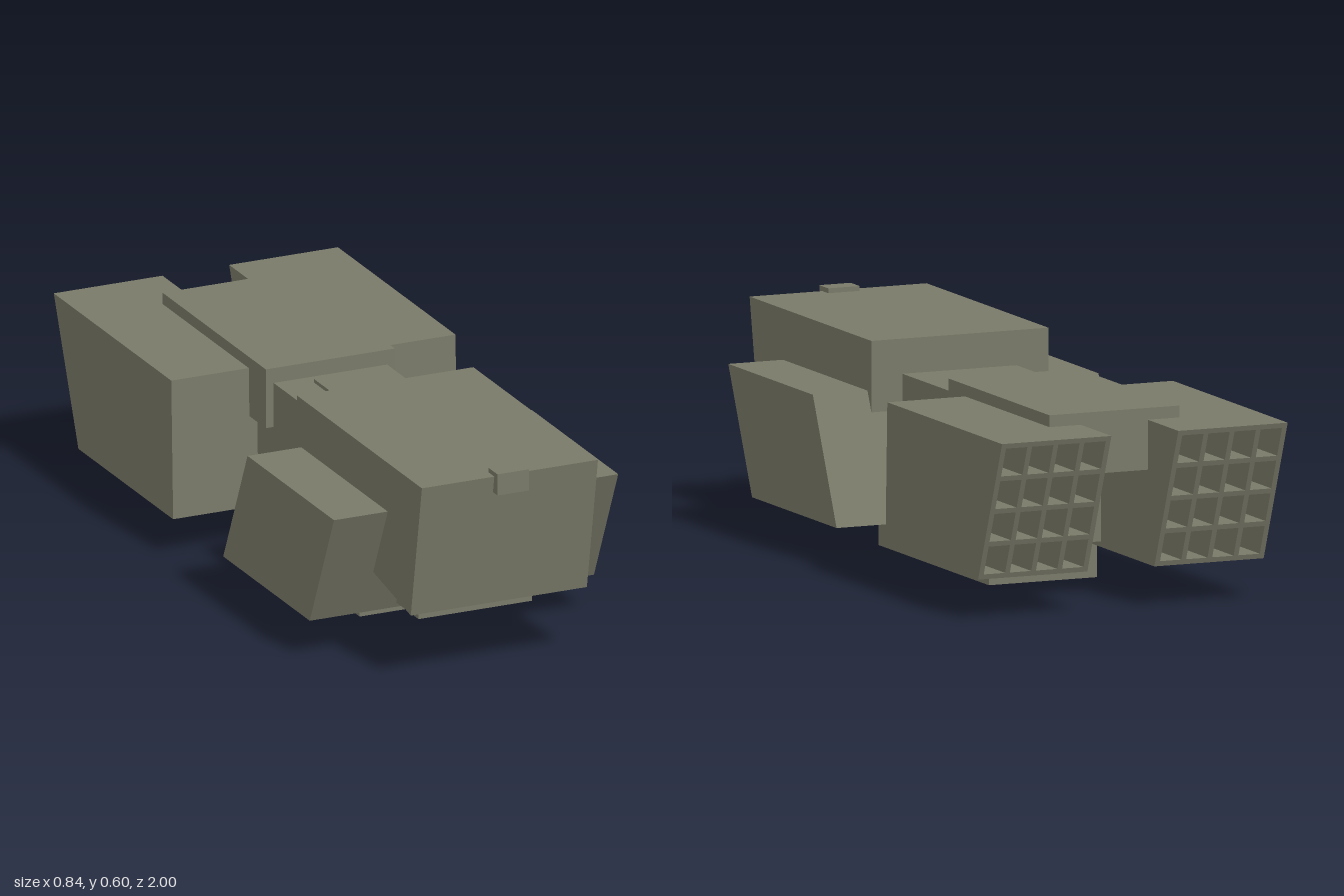
import * as THREE from 'three';

const olive = new THREE.MeshStandardMaterial({ color: 0x7a7a69 });
olive.name = 'olive';

export function createModel() {
  const model = new THREE.Group();
  model.name = 'launcherShip';

  const add = (name, geometry) => {
    const mesh = new THREE.Mesh(geometry, olive);
    mesh.name = name;
    model.add(mesh);
    return mesh;
  };

  // Box given by its limits on each axis
  const box = (name, x0, x1, y0, y1, z0, z1) =>
    add(name, new THREE.BoxGeometry(x1 - x0, y1 - y0, z1 - z0)
      .translate((x0 + x1) / 2, (y0 + y1) / 2, (z0 + z1) / 2));

  // Side profile of [z, y] points swept from x0 to x1
  const prism = (name, profile, x0, x1) => {
    const shape = new THREE.Shape(profile.map(([z, y]) => new THREE.Vector2(-z, y)));
    const geo = new THREE.ExtrudeGeometry(shape, { depth: x1 - x0, bevelEnabled: false });
    return add(name, geo.rotateY(Math.PI / 2).translate(x0, 0, 0));
  };

  const rect = (Type, x0, x1, y0, y1) => new Type([
    new THREE.Vector2(x0, y0), new THREE.Vector2(x1, y0),
    new THREE.Vector2(x1, y1), new THREE.Vector2(x0, y1),
  ]);

  // Central body, keel and roof parts
  box('body', -0.167, 0.167, 0.125, 0.49, -0.5, 0.76);
  box('keelStep', -0.086, 0.086, 0.093, 0.13, -0.455, 0.575);
  box('keel', -0.158, 0.158, 0, 0.126, -0.342, 0.37);
  box('roofHatch', -0.068, 0.065, 0.485, 0.5, -0.112, 0.014);
  box('rearRoof', -0.19, 0.19, 0.365, 0.532, -0.803, -0.153);

  // Large front hull with a sensor on its brow
  prism('frontHull',
    [[0.98, 0.585], [0.195, 0.585], [0.195, 0.335], [0.91, 0.2]], -0.26, 0.258);
  box('sensor', -0.047, 0.045, 0.538, 0.598, 0.942, 1);

  // Rear pod: sheared rear end with a 4 x 4 grid of open tubes
  const X0 = 0.098, X1 = 0.418, Y0 = 0.11, Y1 = 0.5, DEPTH = 0.15;
  const rearZ = (y) => -1 + (Y1 - y) * 0.155 / (Y1 - Y0);
  const frontZ = (y) => -0.26 + (Y1 - y) * 0.03;
  const tubeFace = (x0) => {
    const w = X1 - X0, h = Y1 - Y0, wall = 0.014;
    const cw = (w - wall) / 4, ch = (h - wall) / 4;
    const face = rect(THREE.Shape, x0, x0 + w, Y0, Y1);
    for (let i = 0; i < 4; i++) {
      for (let j = 0; j < 4; j++) {
        const x = x0 + wall + i * cw, y = Y0 + wall + j * ch;
        face.holes.push(rect(THREE.Path, x, x + cw - wall, y, y + ch - wall));
      }
    }
    return face;
  };
  // Extrude a face, then move its two ends onto sloping planes
  const between = (shape, back, front) => {
    const geo = new THREE.ExtrudeGeometry(shape, { depth: 1, bevelEnabled: false });
    const p = geo.attributes.position;
    for (let i = 0; i < p.count; i++) {
      p.setZ(i, p.getZ(i) < 0.5 ? back(p.getY(i)) : front(p.getY(i)));
    }
    geo.computeVertexNormals();
    return geo;
  };

  for (const [side, s] of [['left', 1], ['right', -1]]) {
    const x0 = s > 0 ? X0 : -X1;
    const floorZ = (y) => rearZ(y) + DEPTH;
    add(side + 'RearPodTubes', between(tubeFace(x0), rearZ, floorZ));
    add(side + 'RearPod', between(rect(THREE.Shape, x0, x0 + X1 - X0, Y0, Y1), floorZ, frontZ));

    // Leaning front pod
    prism(side + 'FrontPod',
      [[0.765, 0.447], [0.22, 0.447], [0.067, 0.11], [0.612, 0.11]], x0, x0 + X1 - X0);

    // Side panel with two recessed windows
    const panel = rect(THREE.Shape, -0.032, 0.152, 0.2, 0.288);
    for (const z of [-0.013, 0.069]) {
      panel.holes.push(rect(THREE.Path, z, z + 0.064, 0.224, 0.267));
    }
    const geo = new THREE.ExtrudeGeometry(panel, { depth: 0.02, bevelEnabled: false });
    add(side + 'SidePanel', geo.rotateY(Math.PI / 2).translate(s > 0 ? 0.165 : -0.185, 0, 0));
  }

  return model;
}
